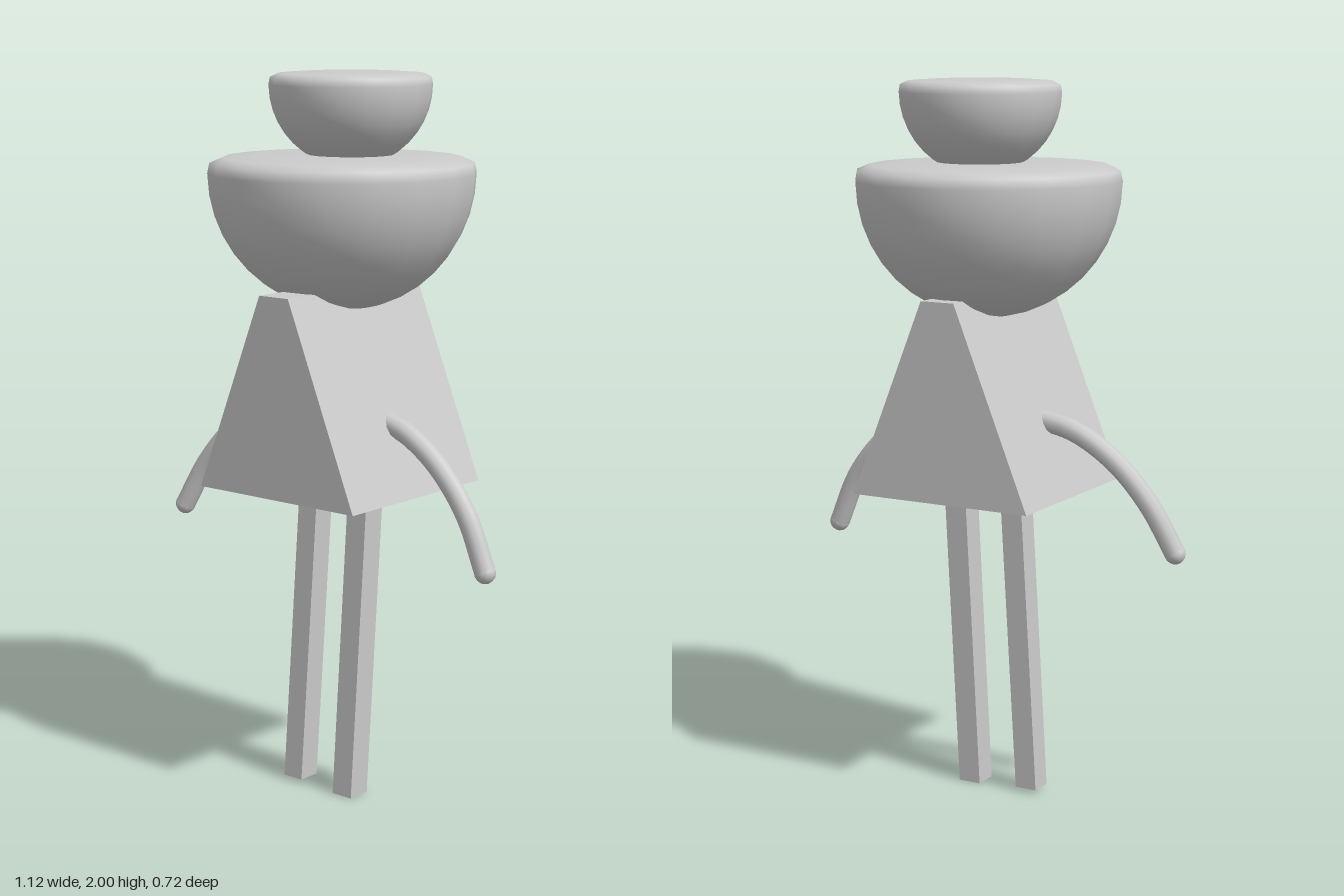
import * as THREE from 'three';

const material = new THREE.MeshStandardMaterial({ color: 0xcccccc });
const flat = new THREE.MeshStandardMaterial({ color: 0xcccccc, flatShading: true });

function add(parent, name, geometry, mat = material) {
  const mesh = new THREE.Mesh(geometry, mat);
  mesh.name = name;
  parent.add(mesh);
  return mesh;
}

// Half ball with a rounded rim and an almost flat lid
function bowl(r, depth, lid) {
  const pts = [];
  for (let i = 0; i <= 10; i++) {
    const a = (i / 10) * Math.PI / 2;
    pts.push(new THREE.Vector2(r * Math.sin(a), -depth * Math.cos(a)));
  }
  for (const [x, y] of [[0.985, 0.55], [0.89, 0.85], [0.6, 0.97], [0, 1]]) {
    pts.push(new THREE.Vector2(r * x, lid * y));
  }
  return new THREE.LatheGeometry(pts, 18, -0.12);
}

// Square leg sheared so that it leans between its two end centres
function leg(bottom, top, width, depth) {
  const g = new THREE.BoxGeometry(width, 1, depth);
  const p = g.attributes.position;
  for (let i = 0; i < p.count; i++) {
    const end = p.getY(i) > 0 ? top : bottom;
    p.setXYZ(i, end[0] + p.getX(i), end[1], end[2] + p.getZ(i));
  }
  g.computeVertexNormals();
  return g;
}

// Curved arm with ball ends
function arm(name, points, r) {
  const group = new THREE.Group();
  group.name = name;
  const path = points.map((p) => new THREE.Vector3(...p));
  add(group, name + 'Tube', new THREE.TubeGeometry(new THREE.CatmullRomCurve3(path), 24, r, 10));
  for (const [label, p] of [['Shoulder', path[0]], ['Hand', path[path.length - 1]]]) {
    add(group, name + label, new THREE.SphereGeometry(r, 10, 8)).position.copy(p);
  }
  return group;
}

export function createModel() {
  const model = new THREE.Group();
  model.name = 'figure';

  // Wedge body
  const outline = new THREE.Shape([
    new THREE.Vector2(-0.25, 0.88), new THREE.Vector2(0.29, 0.88),
    new THREE.Vector2(0.07, 1.425), new THREE.Vector2(-0.03, 1.425),
  ]);
  const body = new THREE.ExtrudeGeometry(outline, { depth: 0.545, bevelEnabled: false });
  add(model, 'body', body, flat).position.z = -0.25;

  // Head and hat
  add(model, 'head', bowl(0.363, 0.37, 0.05)).position.set(0.006, 1.73, -0.002);
  add(model, 'hat', bowl(0.22, 0.22, 0.035)).position.set(0.022, 1.965, -0.018);

  // Legs
  add(model, 'rightLeg', leg([-0.102, 0.014, 0.055], [-0.068, 0.9, 0.02], 0.064, 0.066), flat);
  add(model, 'leftLeg', leg([0.08, 0.003, 0.054], [0.107, 0.9, 0.018], 0.066, 0.07), flat);

  // Arms
  model.add(arm('rightArm', [
    [-0.13, 1.087, 0.02], [-0.25, 1.06, 0.022], [-0.37, 0.985, 0.03],
    [-0.465, 0.875, 0.045], [-0.535, 0.745, 0.064],
  ], 0.029));
  model.add(arm('leftArm', [
    [0.17, 1.08, 0.032], [0.26, 1.052, 0.034], [0.37, 0.975, 0.036],
    [0.465, 0.86, 0.039], [0.53, 0.717, 0.042],
  ], 0.029));

  return model;
}
